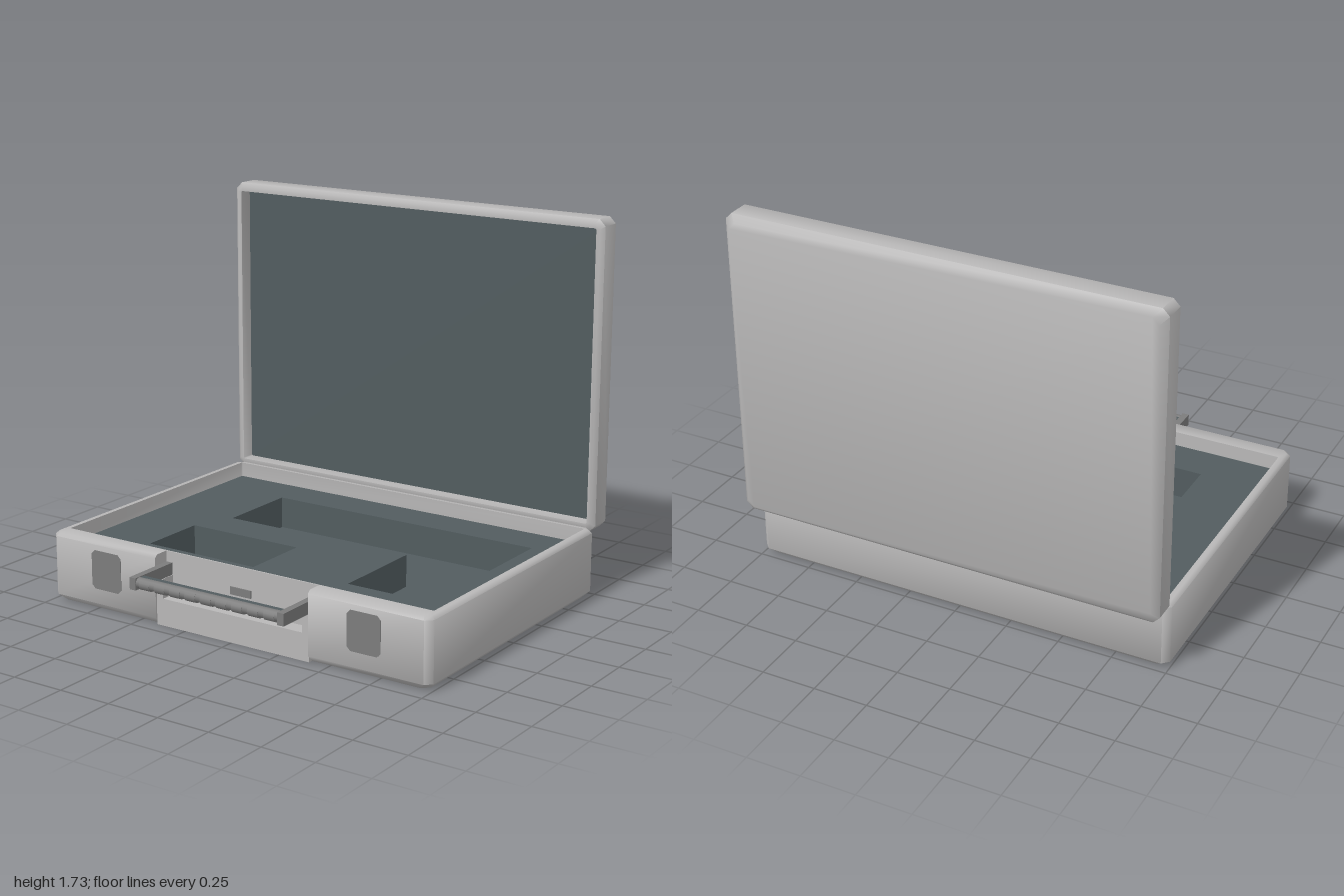
import * as THREE from 'three';
import { mergeGeometries, toCreasedNormals } from 'three/addons/utils/BufferGeometryUtils.js';

const mat = (name, color, side = THREE.FrontSide) => {
  const m = new THREE.MeshStandardMaterial({ color, side });
  m.name = name;
  return m;
};

// Chamfered rectangle in x/z, with an optional notch in its front (+z) edge.
function outline(x, z0, z1, c, notchZ) {
  const pts = [[-x + c, z1]];
  if (notchZ !== undefined) {
    const n = Math.min(notchZ, z1);
    pts.push([-0.405, z1], [-0.405, n], [0.405, n], [0.405, z1]);
  }
  pts.push([x - c, z1], [x, z1 - c], [x, z0 + c], [x - c, z0],
    [-x + c, z0], [-x, z0 + c], [-x, z1 - c]);
  return pts;
}

const path = (pts) => pts.map(([x, y]) => new THREE.Vector2(x, y));

// Walls through stacked x/z loops, closed by a flat bottom at the first loop.
function loft(loops, heights) {
  const n = loops[0].length, pos = [], index = [];
  loops.forEach((loop, i) => loop.forEach(([x, z]) => pos.push(x, heights[i], z)));
  for (let i = 0; i < loops.length - 1; i++) {
    for (let j = 0; j < n; j++) {
      const a = i * n + j, b = i * n + (j + 1) % n;
      index.push(a, b, b + n, a, b + n, a + n);
    }
  }
  const walls = new THREE.BufferGeometry();
  walls.setAttribute('position', new THREE.Float32BufferAttribute(pos, 3));
  walls.setIndex(index);
  const cap = new THREE.ShapeGeometry(new THREE.Shape(path(loops[0])));
  cap.rotateX(Math.PI / 2).translate(0, heights[0], 0);
  cap.deleteAttribute('normal');
  cap.deleteAttribute('uv');
  return toCreasedNormals(mergeGeometries([walls, cap]), 0.9);
}

// Open tray from rows of [y, halfX, z0, z1, chamfer].
const tray = (rows, notchZ) =>
  loft(rows.map(([, ...r]) => outline(...r, notchZ)), rows.map((r) => r[0]));

export function createModel() {
  const shellGrey = mat('shell grey', 0xb8b7b7);
  const fittingGrey = mat('fitting grey', 0x7c7c7c);
  const foamSlate = mat('foam slate', 0x525c5f, THREE.DoubleSide);
  const model = new THREE.Group();
  model.name = 'openCase';

  const add = (name, geometry, material, parent = model) => {
    const mesh = new THREE.Mesh(geometry, material);
    mesh.name = name;
    parent.add(mesh);
    return mesh;
  };
  // Box given by its minimum and maximum corners.
  const box = (name, x0, x1, y0, y1, z0, z1, material, parent) => {
    const mesh = add(name, new THREE.BoxGeometry(x1 - x0, y1 - y0, z1 - z0), material, parent);
    mesh.position.set((x0 + x1) / 2, (y0 + y1) / 2, (z0 + z1) / 2);
    return mesh;
  };

  // Base shell with the handle notch in its front wall
  add('baseShell', tray([
    [0, 0.97, -0.705, 0.66, 0.03],
    [0.03, 1, -0.735, 0.69, 0.03],
    [0.305, 1, -0.735, 0.69, 0.03],
    [0.32, 0.985, -0.72, 0.675, 0.025],
    [0.32, 0.963, -0.702, 0.603, 0.005],
    [0.25, 0.963, -0.702, 0.603, 0.005],
  ], 0.61), shellGrey);

  // Lower panel and posts that frame the handle pocket
  box('pocketPanel', -0.405, 0.405, 0, 0.125, 0.61, 0.682, shellGrey);
  for (const s of [-1, 1]) {
    const x = s * 0.3875;
    box('pocketPost', x - 0.0175, x + 0.0175, 0.125, 0.215, 0.61, 0.682, shellGrey);
  }
  box('pocketCatch', -0.055, 0.055, 0.19, 0.225, 0.608, 0.616, fittingGrey);

  // Recessed foam with an L-shaped and a rectangular cutout
  const foamTop = 0.25, foamFloor = 0.1;
  const cutouts = [
    [[-0.58, -0.51], [0.8, -0.51], [0.8, 0.36], [0.385, 0.36], [0.385, -0.11], [-0.58, -0.11]],
    [[-0.66, 0.08], [-0.08, 0.08], [-0.08, 0.41], [-0.66, 0.41]],
  ];
  const foam = new THREE.Shape(path([[-0.963, -0.702], [0.963, -0.702], [0.963, 0.603], [-0.963, 0.603]]));
  cutouts.forEach((c) => foam.holes.push(new THREE.Path(path(c))));
  const insert = add('foamInsert', new THREE.ShapeGeometry(foam), foamSlate);
  insert.rotation.x = Math.PI / 2;
  insert.position.y = foamTop;
  cutouts.forEach((c) => add('foamCutout', loft([c, c], [foamFloor, foamTop]), foamSlate));

  // Lid standing upright behind the base, with its own recessed foam
  const lid = new THREE.Group();
  lid.name = 'lid';
  lid.rotation.x = Math.PI / 2;
  lid.position.z = -0.863;
  model.add(lid);
  add('lidShell', tray([
    [0, 0.97, -1.70, -0.33, 0.03],
    [0.03, 1, -1.73, -0.30, 0.03],
    [0.128, 1, -1.73, -0.30, 0.03],
    [0.143, 0.982, -1.712, -0.318, 0.025],
    [0.143, 0.963, -1.69, -0.338, 0.005],
    [0.075, 0.963, -1.69, -0.338, 0.005],
  ]), shellGrey, lid);
  const lining = add('lidFoam', new THREE.PlaneGeometry(1.926, 1.352), foamSlate, lid);
  lining.rotation.x = -Math.PI / 2;
  lining.position.set(0, 0.075, -1.014);

  // Front latches, nearly flush with the shell
  const latchShape = new THREE.Shape(path([
    [-0.065, -0.09], [0.065, -0.09], [0.083, -0.072], [0.083, 0.072],
    [0.065, 0.09], [-0.065, 0.09], [-0.083, 0.072], [-0.083, -0.072],
  ]));
  const latchGeometry = new THREE.ExtrudeGeometry(latchShape, { depth: 0.005, bevelEnabled: false });
  for (const s of [-1, 1]) {
    add('latch', latchGeometry, fittingGrey).position.set(s * 0.682, 0.19, 0.687);
  }

  // Carrying handle: two arms, a bar and a row of finger ridges
  const handle = new THREE.Group();
  handle.name = 'handle';
  model.add(handle);
  for (const s of [-1, 1]) {
    const x = s * 0.389;
    box('handleArm', x - 0.016, x + 0.016, 0.215, 0.27, 0.61, 0.865, fittingGrey, handle);
  }
  box('handleGrip', -0.375, 0.375, 0.222, 0.266, 0.805, 0.845, foamSlate, handle);
  const bar = add('handleBar', new THREE.CylinderGeometry(0.024, 0.024, 0.75, 14), fittingGrey, handle);
  bar.rotation.z = Math.PI / 2;
  bar.position.set(0, 0.245, 0.839);
  const ridgeGeometry = new THREE.CylinderGeometry(0.026, 0.026, 0.055, 14);
  for (let i = 0; i < 9; i++) {
    const ridge = add('handleRidge', ridgeGeometry, fittingGrey, handle);
    ridge.rotation.z = Math.PI / 2;
    ridge.position.set((i - 4) * 0.082, 0.242, 0.839);
  }
  return model;
}
